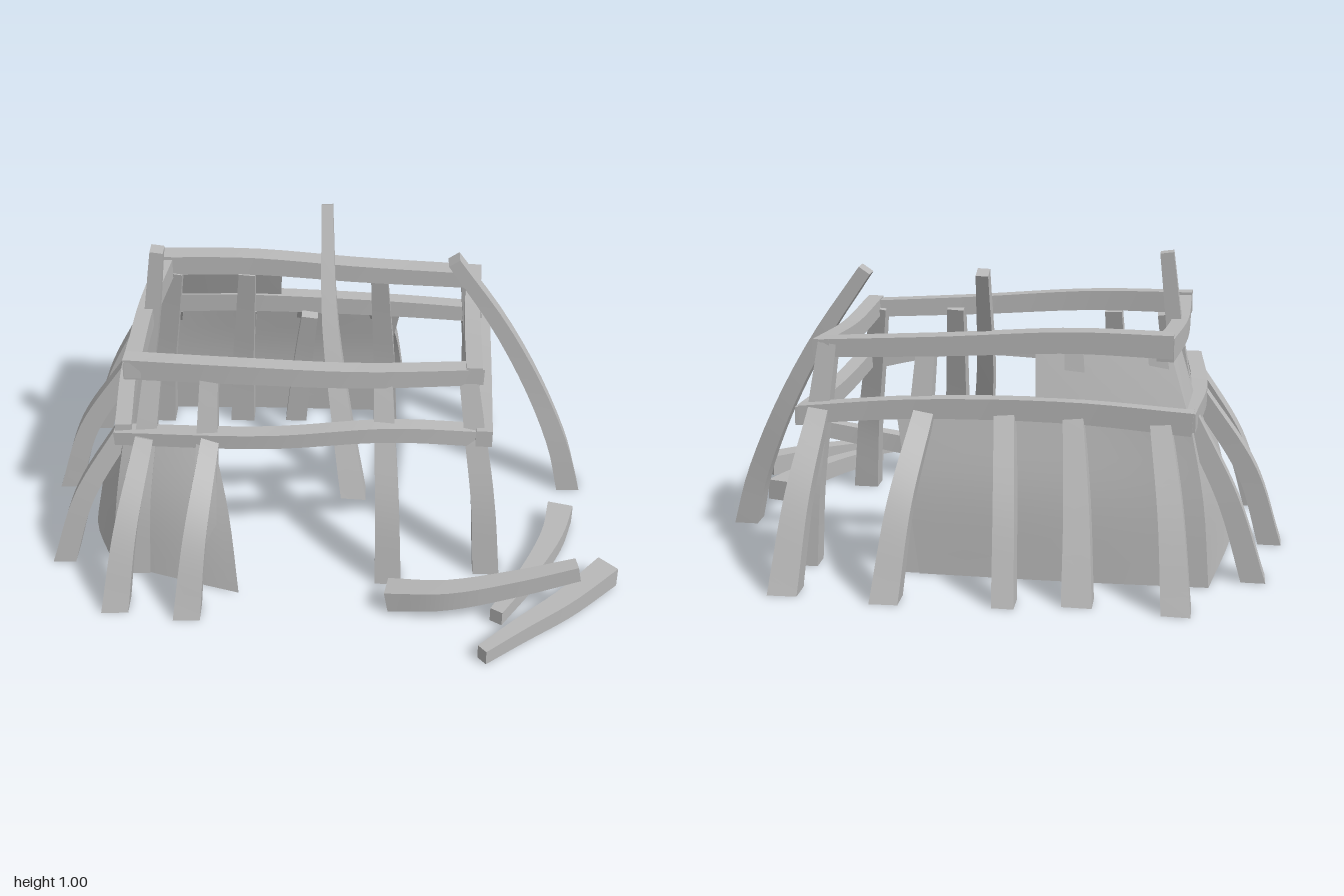
import * as THREE from 'three';

const V = (p) => new THREE.Vector3(...p);

// Square timber swept along a curved path, sharp along its four edges.
// w: size across, h: size along the ref direction; both run from start to end.
function timberGeometry(points, ref, w, h, grounded) {
  const curve = new THREE.CatmullRomCurve3(points.map(V));
  const steps = 14, rings = [];
  for (let i = 0; i <= steps; i++) {
    const t = i / steps;
    const p = curve.getPoint(t), T = curve.getTangent(t);
    const side = new THREE.Vector3().crossVectors(T, ref).normalize();
    const up = new THREE.Vector3().crossVectors(side, T).normalize();
    const a = THREE.MathUtils.lerp(w[0], w[1], t) / 2;
    const b = THREE.MathUtils.lerp(h[0], h[1], t) / 2;
    rings.push([[-1, -1], [1, -1], [1, 1], [-1, 1]].map(([s, u]) => {
      const q = p.clone().addScaledVector(side, s * a).addScaledVector(up, u * b);
      // cut the foot level with the ground
      if (grounded && i === 0) q.addScaledVector(T, -q.y / T.y);
      q.y = Math.max(q.y, 0);
      return q;
    }));
  }
  const pos = [], index = [];
  for (let k = 0; k < 4; k++) {
    const base = pos.length / 3;
    for (const r of rings) pos.push(...r[k].toArray(), ...r[(k + 1) % 4].toArray());
    for (let i = 0; i < steps; i++) {
      const a = base + i * 2;
      index.push(a, a + 1, a + 3, a, a + 3, a + 2);
    }
  }
  for (const [r, flip] of [[rings[0], true], [rings[steps], false]]) {
    const b = pos.length / 3;
    r.forEach((q) => pos.push(...q.toArray()));
    index.push(...(flip ? [b, b + 2, b + 1, b, b + 3, b + 2] : [b, b + 1, b + 2, b, b + 2, b + 3]));
  }
  return finish(pos, index);
}

// Curved sheet lofted through rows of points, bottom to top.
function sheetGeometry(rows) {
  const nu = 12, nv = 8, pos = [], index = [];
  const curves = rows.map((r) => new THREE.CatmullRomCurve3(r.map(V)));
  for (let i = 0; i <= nu; i++) {
    const column = new THREE.CatmullRomCurve3(curves.map((c) => c.getPoint(i / nu)));
    for (let j = 0; j <= nv; j++) pos.push(...column.getPoint(j / nv).toArray());
  }
  for (let i = 0; i < nu; i++) for (let j = 0; j < nv; j++) {
    const a = i * (nv + 1) + j, b = a + nv + 1;
    index.push(a, b, b + 1, a, b + 1, a + 1);
  }
  return finish(pos, index);
}

function finish(pos, index) {
  const g = new THREE.BufferGeometry();
  g.setAttribute('position', new THREE.Float32BufferAttribute(pos, 3));
  g.setIndex(index);
  g.computeVertexNormals();
  return g;
}

export function createModel() {
  const model = new THREE.Group();
  model.name = 'ruinedHutFrame';
  const grey = new THREE.MeshStandardMaterial({ color: 0xb8b8b8, side: THREE.DoubleSide });
  grey.name = 'weathered grey';
  const X = V([1, 0, 0]), Y = V([0, 1, 0]), Z = V([0, 0, 1]);

  const add = (name, geometry) => {
    const mesh = new THREE.Mesh(geometry, grey);
    mesh.name = name;
    model.add(mesh);
  };
  const timber = (name, points, ref, w, h, grounded = false) =>
    add(name, timberGeometry(points, ref, w, h, grounded));

  // Arched outer buttresses, from the ground to the lower rail: foot x, foot z, head x, width
  [[-0.67, -0.775, -0.6, 0.09], [-0.365, -0.745, -0.325, 0.095], [-0.14, -0.785, -0.105, 0.07],
    [0.23, -0.805, 0.16, 0.09], [0.56, -0.78, 0.505, 0.095]].forEach(([x, z, xt, w]) =>
    timber('backButtress', [[x, 0, z], [x * 0.6 + xt * 0.4, 0.28, z + 0.12], [xt, 0.52, -0.51]],
      Z, [w, 0.065], [0.08, 0.06], true));
  [[-0.905, -0.455, -0.69, -0.43], [-0.965, -0.085, -0.71, -0.1], [-0.92, 0.335, -0.68, 0.27]].forEach(([x, z, xt, zt]) =>
    timber('leftButtress', [[x, 0, z], [x + 0.085, 0.26, z * 0.6 + zt * 0.4], [xt, 0.52, zt]],
      X, [0.085, 0.065], [0.075, 0.06], true));
  [[-0.71, 0.59, -0.61], [-0.465, 0.62, -0.39]].forEach(([x, z, xt]) =>
    timber('frontButtress', [[x, 0, z], [x * 0.6 + xt * 0.4, 0.27, z - 0.09], [xt, 0.53, 0.35]],
      Z, [0.09, 0.06], [0.08, 0.06], true));

  // Steep inner posts, from the ground to the upper rail: foot x, foot z, head x, head z
  [[-0.67, -0.51, -0.58, -0.41], [-0.36, -0.52, -0.315, -0.41], [0.2, -0.52, 0.165, -0.41], [0.56, -0.51, 0.49, -0.42],
    [-0.66, 0.39, -0.58, 0.25], [-0.42, 0.43, -0.39, 0.28], [0.21, 0.42, 0.18, 0.24], [0.55, 0.36, 0.46, 0.21]].forEach(([x, z, xt, zt]) =>
    timber('innerPost', [[x, 0, z], [x * 0.75 + xt * 0.25, 0.28, z * 0.8 + zt * 0.2],
      [x * 0.35 + xt * 0.65, 0.52, z * 0.4 + zt * 0.6], [xt, 0.73, zt]],
      Z, [0.09, 0.06], [0.08, 0.06], true));
  // Back post broken off at the lower rail
  timber('brokenPost', [[-0.15, 0, -0.52], [-0.12, 0.28, -0.5], [-0.09, 0.52, -0.46]], Z, [0.08, 0.06], [0.07, 0.06], true);
  // Tall left post rising above the rails
  timber('tallPost', [[-0.76, 0, -0.085], [-0.71, 0.3, -0.085], [-0.64, 0.62, -0.085], [-0.59, 1, -0.085]],
    X, [0.09, 0.055], [0.08, 0.045], true);

  // Upper rails
  const rw = [0.055, 0.055], rh = [0.075, 0.06];
  timber('upperFrontRail', [[-0.67, 0.765, 0.27], [-0.3, 0.76, 0.285], [0.1, 0.735, 0.265], [0.51, 0.72, 0.215]], Y, rw, rh);
  timber('upperBackRail', [[-0.63, 0.755, -0.42], [-0.3, 0.76, -0.42], [0.1, 0.735, -0.415], [0.515, 0.715, -0.415]], Y, [0.07, 0.07], rh);
  timber('upperLeftRail', [[-0.605, 0.745, -0.45], [-0.64, 0.745, -0.1], [-0.64, 0.765, 0.3]], Y, rw, rh);
  timber('upperRightRail', [[0.51, 0.715, -0.45], [0.49, 0.705, -0.1], [0.48, 0.73, 0.25]], Y, rw, [0.06, 0.06]);

  // Lower rails
  timber('lowerFrontRail', [[-0.71, 0.52, 0.32], [-0.2, 0.545, 0.36], [0.2, 0.56, 0.33], [0.54, 0.505, 0.27]], Y, rw, [0.05, 0.06]);
  timber('lowerBackRail', [[-0.7, 0.53, -0.52], [-0.3, 0.55, -0.5], [0.2, 0.54, -0.49], [0.57, 0.51, -0.5]], Y, rw, rh);
  timber('lowerLeftRail', [[-0.68, 0.535, -0.54], [-0.71, 0.525, -0.1], [-0.68, 0.54, 0.335]], Y, rw, [0.06, 0.06]);
  timber('lowerRightRail', [[0.555, 0.505, -0.525], [0.54, 0.497, -0.1], [0.52, 0.525, 0.32]], Y, rw, [0.06, 0.06]);

  // Wall sheets between the inner posts and the buttresses
  add('leftWallSheet', sheetGeometry([
    [[-0.765, 0, -0.56], [-0.83, 0, -0.1], [-0.84, 0, 0.15], [-0.75, 0, 0.38]],
    [[-0.74, 0.28, -0.54], [-0.78, 0.28, -0.1], [-0.78, 0.28, 0.15], [-0.72, 0.28, 0.36]],
    [[-0.69, 0.53, -0.51], [-0.7, 0.53, -0.1], [-0.69, 0.53, 0.15], [-0.68, 0.53, 0.32]]]));
  add('backWallSheet', sheetGeometry([
    [[-0.765, 0, -0.56], [-0.3, 0, -0.57], [0.17, 0, -0.565]],
    [[-0.74, 0.28, -0.54], [-0.3, 0.28, -0.55], [0.21, 0.28, -0.545]],
    [[-0.69, 0.53, -0.51], [-0.3, 0.53, -0.5], [0.25, 0.51, -0.5]]]));
  add('frontWallSheet', sheetGeometry([
    [[-0.75, 0, 0.38], [-0.5, 0, 0.46], [-0.3, 0, 0.52]],
    [[-0.72, 0.28, 0.36], [-0.5, 0.28, 0.41], [-0.33, 0.28, 0.44]],
    [[-0.68, 0.53, 0.32], [-0.5, 0.53, 0.34], [-0.38, 0.53, 0.35]]]));
  add('upperBackSheet', sheetGeometry([
    [[-0.69, 0.53, -0.51], [-0.2, 0.53, -0.5]],
    [[-0.62, 0.74, -0.43], [-0.19, 0.74, -0.43]]]));
  add('upperLeftSheet', sheetGeometry([
    [[-0.69, 0.53, -0.51], [-0.7, 0.53, -0.2]],
    [[-0.62, 0.74, -0.43], [-0.635, 0.74, -0.2]]]));

  // Loose poles leaning on the rails
  timber('rightLeaningPole', [[0.875, 0.01, -0.12], [0.83, 0.18, -0.13], [0.73, 0.42, -0.15], [0.59, 0.68, -0.16], [0.42, 0.93, -0.165]],
    X, [0.085, 0.06], [0.08, 0.045], true);
  timber('innerLeaningPole', [[0.08, 0.02, -0.045], [0.04, 0.25, -0.14], [-0.01, 0.6, -0.29], [-0.025, 0.98, -0.455]],
    Z, [0.09, 0.04], [0.07, 0.045], true);

  // Fallen timbers at the front
  timber('fallenTimber', [[0.21, 0.05, 0.57], [0.4, 0.085, 0.605], [0.62, 0.125, 0.59], [0.84, 0.17, 0.56]], Y, [0.08, 0.05], [0.08, 0.06]);
  timber('fallenTimber', [[0.515, 0.03, 0.825], [0.645, 0.035, 0.715], [0.805, 0.04, 0.585], [0.965, 0.042, 0.42]], Y, [0.04, 0.085], [0.055, 0.075]);
  timber('fallenTimber', [[0.83, 0.04, 0.1], [0.79, 0.04, 0.25], [0.7, 0.04, 0.44], [0.57, 0.035, 0.65]], Y, [0.09, 0.045], [0.075, 0.055]);

  return model;
}
